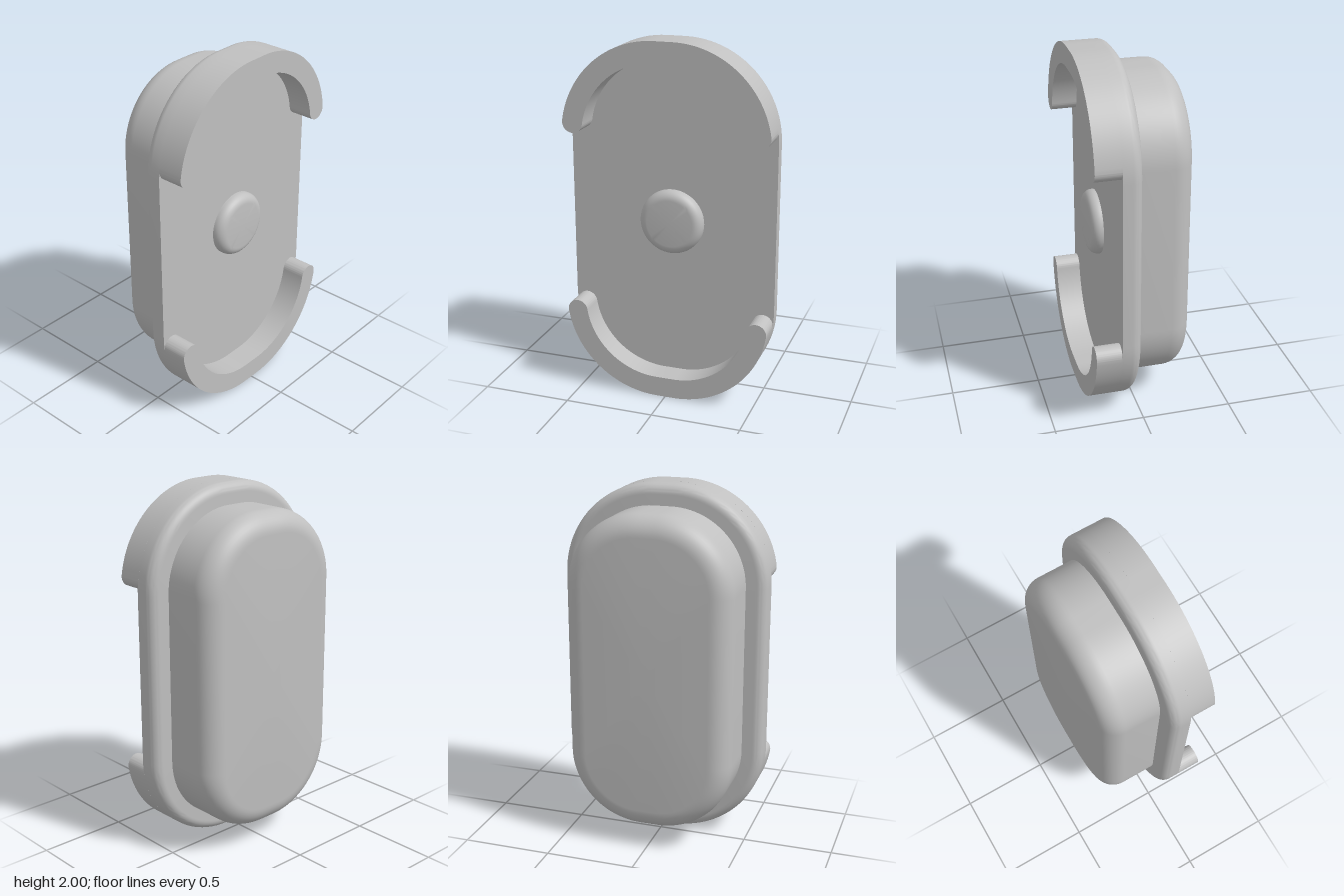
import * as THREE from 'three';
import { toCreasedNormals } from 'three/addons/utils/BufferGeometryUtils.js';

const grey = new THREE.MeshStandardMaterial({ color: 0xc0c0c0 });
grey.name = 'grey';

const FLAT = 0.05;   // half length of the straight run at top and bottom
const RISE = 0.47;   // half length of the straight sides
const R = 0.53;      // outer corner radius
const WALL = 0.115;  // rim thickness, also the step to the back body

// Rounded outline, counter-clockwise seen from the front
function outline(radius, seg = 24) {
  const pts = [];
  [[1, 1], [-1, 1], [-1, -1], [1, -1]].forEach(([sx, sy], q) => {
    for (let i = 0; i <= seg; i++) {
      const a = (q + i / seg) * Math.PI / 2;
      pts.push([sx * FLAT + radius * Math.cos(a), sy * RISE + radius * Math.sin(a)]);
    }
  });
  return pts;
}

// Solid with a filleted back edge, lofted from back to front
function filletedSlab(radius, fillet, zBack, zFront, frontCap) {
  const rows = [];
  for (let i = 0; i <= 10; i++) {
    const a = i / 10 * Math.PI / 2;
    rows.push([radius - fillet * (1 - Math.sin(a)), zBack + fillet * (1 - Math.cos(a))]);
  }
  rows.push([radius, zFront]);
  const pos = [], idx = [];
  rows.forEach(([r, z]) => outline(r).forEach(([x, y]) => pos.push(x, y, z)));
  const n = outline(radius).length, last = (rows.length - 1) * n;
  const back = rows.length * n, front = back + 1;
  pos.push(0, 0, zBack, 0, 0, zFront);
  for (let j = 0; j < n; j++) {
    const k = (j + 1) % n;
    for (let o = 0; o < last; o += n) {
      idx.push(o + j, o + k, o + n + k, o + j, o + n + k, o + n + j);
    }
    idx.push(back, k, j);
    if (frontCap) idx.push(front, last + j, last + k);
  }
  const geo = new THREE.BufferGeometry();
  geo.setAttribute('position', new THREE.Float32BufferAttribute(pos, 3));
  geo.setIndex(idx);
  return toCreasedNormals(geo, 0.5);
}

// Curved lip with round ends, following the end of the plate
function rimGeometry() {
  const a = 0.15, mid = R - WALL / 2, inner = R - WALL;
  const ex = FLAT + mid * Math.cos(a), ey = RISE + mid * Math.sin(a);
  const s = new THREE.Shape();
  s.absarc(FLAT, RISE, R, a, Math.PI / 2, false);
  s.absarc(-FLAT, RISE, R, Math.PI / 2, Math.PI - a, false);
  s.absarc(-ex, ey, WALL / 2, Math.PI - a, 2 * Math.PI - a, false);
  s.absarc(-FLAT, RISE, inner, Math.PI - a, Math.PI / 2, true);
  s.absarc(FLAT, RISE, inner, Math.PI / 2, a, true);
  s.absarc(ex, ey, WALL / 2, Math.PI + a, 2 * Math.PI + a, false);
  const geo = new THREE.ExtrudeGeometry(s, { depth: 0.14, bevelEnabled: false, curveSegments: 24 });
  return toCreasedNormals(geo, 0.5);
}

// Round button with a softened front edge
function buttonGeometry() {
  const pts = [new THREE.Vector2(0.18, 0)];
  for (let i = 0; i <= 8; i++) {
    const a = i / 8 * Math.PI / 2;
    pts.push(new THREE.Vector2(0.13 + 0.05 * Math.cos(a), 0.01 + 0.05 * Math.sin(a)));
  }
  pts.push(new THREE.Vector2(0, 0.06));
  return toCreasedNormals(new THREE.LatheGeometry(pts, 48).rotateX(Math.PI / 2), 0.5);
}

export function createModel() {
  const group = new THREE.Group();
  const add = (name, geo, z = 0) => {
    const mesh = new THREE.Mesh(geo, grey);
    mesh.name = name;
    mesh.position.set(0, 1, z);
    group.add(mesh);
    return mesh;
  };
  add('basePlate', filletedSlab(R, 0.055, 0.03, 0.14, true));
  add('backBody', filletedSlab(R - WALL, 0.115, -0.28, 0.03, false));
  add('topRim', rimGeometry(), 0.14);
  add('bottomRim', rimGeometry(), 0.14).rotation.z = Math.PI;
  add('button', buttonGeometry(), 0.14);
  return group;
}
